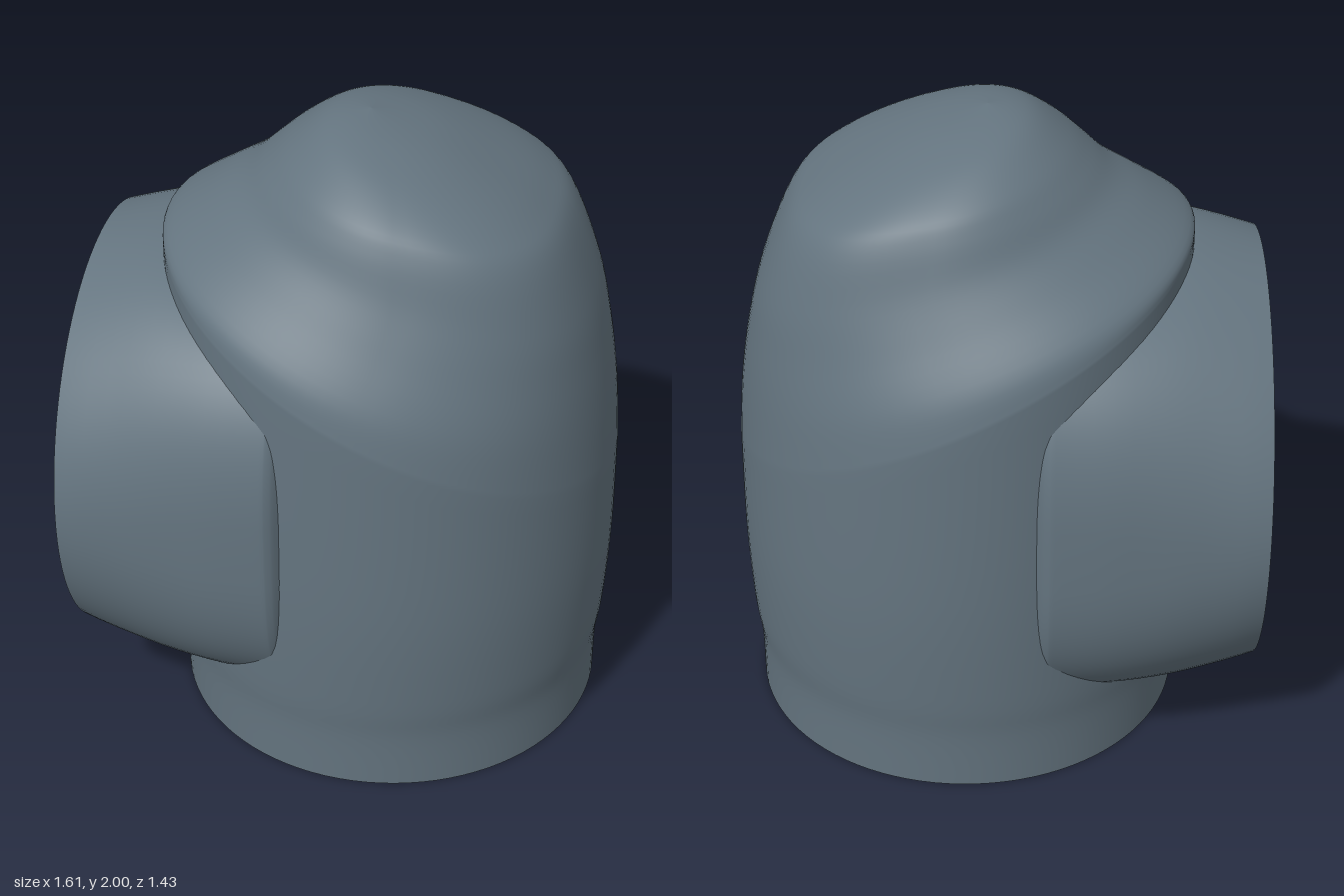
import * as THREE from 'three';

const SEGMENTS = 96;

// Rounded cross-section point on a unit superellipse
function section(angle, power) {
  const bend = (v) => Math.sign(v) * Math.pow(Math.abs(v), 2 / power);
  return [bend(Math.cos(angle)), bend(Math.sin(angle))];
}

// Catmull-Rom refinement of rows of ring parameters
function refine(rows, steps) {
  const out = [];
  for (let i = 0; i < rows.length - 1; i++) {
    const a = rows[Math.max(i - 1, 0)], b = rows[i], c = rows[i + 1];
    const d = rows[Math.min(i + 2, rows.length - 1)];
    for (let s = 0; s < steps; s++) {
      const t = s / steps;
      out.push(b.map((v, k) => {
        const m0 = (c[k] - a[k]) / 2, m1 = (d[k] - v) / 2;
        return (2 * t ** 3 - 3 * t * t + 1) * v + (t ** 3 - 2 * t * t + t) * m0
          + (3 * t * t - 2 * t ** 3) * c[k] + (t ** 3 - t * t) * m1;
      }));
    }
  }
  out.push(rows[rows.length - 1]);
  return out;
}

// Skin a list of rings; a repeated ring makes a sharp edge
function loft(rings, pointAt) {
  const positions = [], index = [];
  rings.forEach((ring, r) => {
    for (let i = 0; i < SEGMENTS; i++) {
      positions.push(...pointAt(ring, (i / SEGMENTS) * Math.PI * 2));
      if (r === 0) continue;
      const j = (i + 1) % SEGMENTS, low = (r - 1) * SEGMENTS, high = r * SEGMENTS;
      index.push(low + i, high + i, low + j, low + j, high + i, high + j);
    }
  });
  const geometry = new THREE.BufferGeometry();
  geometry.setAttribute('position', new THREE.Float32BufferAttribute(positions, 3));
  geometry.setIndex(index);
  geometry.computeVertexNormals();
  return geometry;
}

export function createModel() {
  const group = new THREE.Group();
  const slate = new THREE.MeshStandardMaterial({ color: 0x64747f });
  slate.name = 'slate grey';

  // Upright body: xMin, xMax, half depth, y at xMin, y at xMax, squareness
  const base = [-0.585, 0.77, 0.68, 0, 0, 2];
  const wall = refine([
    base,
    [-0.588, 0.772, 0.685, 0.18, 0.18, 2],
    [-0.598, 0.79, 0.7, 0.35, 0.33, 2],
    [-0.6, 0.802, 0.715, 0.8, 0.6, 2],
    [-0.6, 0.8, 0.705, 1.61, 0.93, 2],
  ], 5);
  // Tilted crown narrowing to a softly squared top
  const crown = refine([
    [-0.6, 0.8, 0.705, 1.61, 0.93, 2],
    [-0.585, 0.785, 0.675, 1.65, 1.12, 2.05],
    [-0.46, 0.755, 0.59, 1.73, 1.31, 2.25],
    [-0.36, 0.71, 0.525, 1.79, 1.49, 2.5],
    [-0.29, 0.625, 0.475, 1.85, 1.69, 2.7],
    [-0.22, 0.54, 0.425, 1.91, 1.775, 2.6],
    [-0.13, 0.4, 0.31, 1.973, 1.86, 2.4],
    [-0.06, 0.22, 0.16, 1.996, 1.945, 2.2],
    [0.02, 0.02, 0, 2, 2, 2],
  ], 5);
  const bodyPoint = ([x0, x1, depth, y0, y1, power], angle) => {
    const [c, s] = section(angle, c2(angle, power));
    const t = (c + 1) / 2;
    return [x0 + (x1 - x0) * t, y0 + (y1 - y0) * t, s * depth];
  };
  // The squared corners appear only on the +x half
  const c2 = (angle, power) => (Math.cos(angle) > 0 ? power : 2);
  const body = new THREE.Mesh(
    loft([[0.09, 0.09, 0, 0, 0, 2], base, ...wall, ...crown.slice(1)], bodyPoint), slate);
  body.name = 'body';
  group.add(body);

  // Side port: x, radius, squareness, from inside the body to the flat end
  const end = [-0.81, 0.678, 2];
  const portRings = refine([
    [-0.06, 0.58, 2.9],
    [-0.125, 0.675, 2.9],
    [-0.155, 0.704, 2.9],
    [-0.2, 0.712, 2.8],
    [-0.4, 0.716, 2.6],
    [-0.6, 0.718, 2.25],
    end,
  ], 4);
  const portPoint = ([x, radius, power], angle) => {
    const [c, s] = section(angle, power);
    const depth = radius - 0.02 * THREE.MathUtils.smoothstep(-x, 0.3, 0.6)
      * (1 - THREE.MathUtils.smoothstep(-x, 0.6, 0.81));
    return [x, 0.855 + c * radius, s * depth];
  };
  const port = new THREE.Mesh(loft([...portRings, end, [-0.81, 0, 2]], portPoint), slate);
  port.name = 'sidePort';
  group.add(port);

  return group;
}
